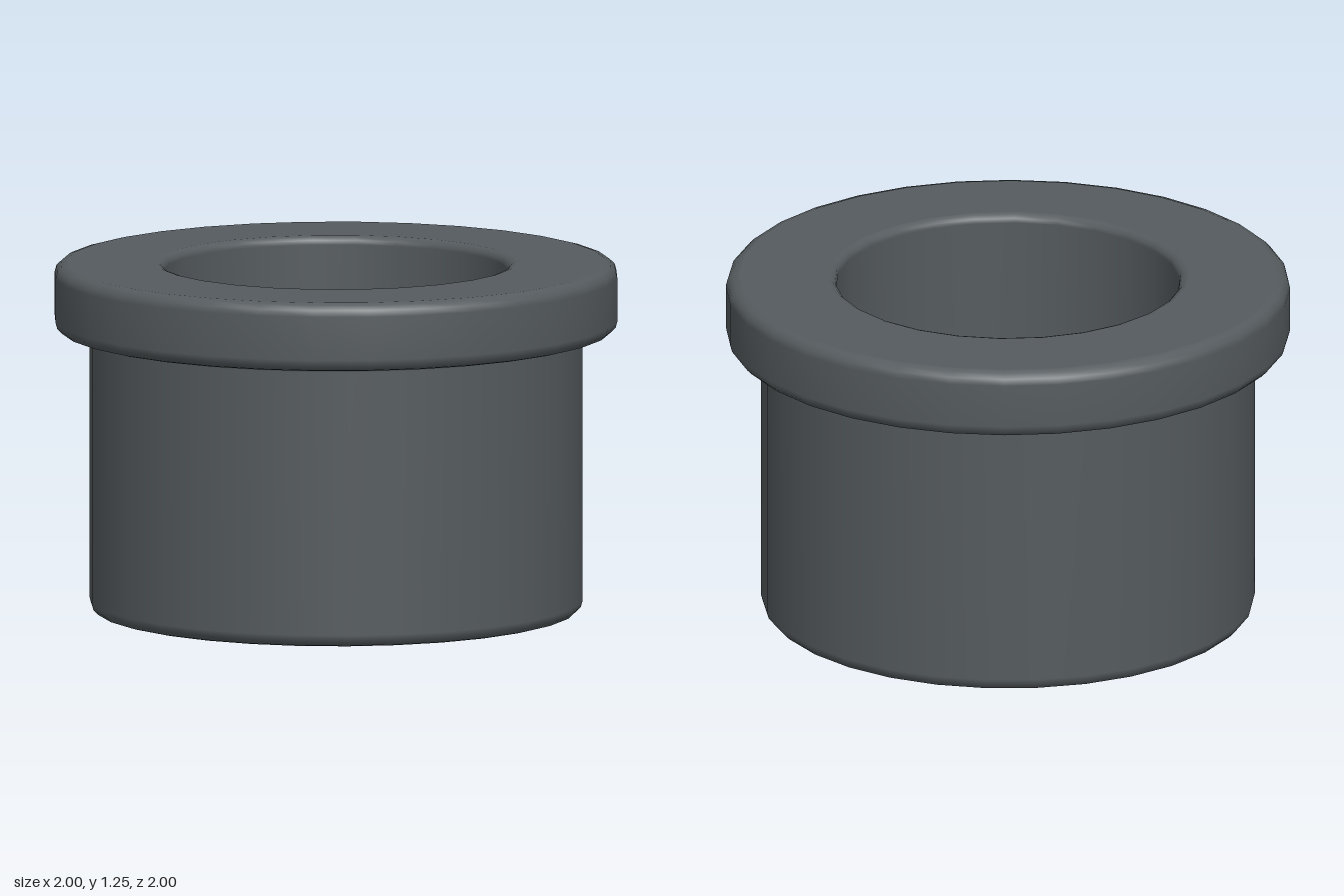
import * as THREE from 'three';

const material = new THREE.MeshStandardMaterial({ color: 0x555b5e });

// Points of a rounded corner, from angle a0 to a1 in degrees
function arc(cx, cy, r, a0, a1, steps = 3) {
  return Array.from({ length: steps + 1 }, (_, i) => {
    const a = THREE.MathUtils.degToRad(a0 + ((a1 - a0) * i) / steps);
    return new THREE.Vector2(cx + r * Math.cos(a), cy + r * Math.sin(a));
  });
}

function circle(radius, sides) {
  return Array.from({ length: sides }, (_, i) => {
    const a = (i / sides) * Math.PI * 2;
    return new THREE.Vector2(radius * Math.cos(a), radius * Math.sin(a));
  });
}

export function createModel() {
  const group = new THREE.Group();
  group.name = 'flangedBushing';

  const add = (name, geometry) => {
    const mesh = new THREE.Mesh(geometry, material);
    mesh.name = name;
    group.add(mesh);
  };
  const lathe = (name, points, sides) =>
    add(name, new THREE.LatheGeometry(points, sides, Math.PI / 2));

  // Flat ring joining two circles with different side counts
  const ring = (name, outer, outerSides, inner, innerSides, y, up) => {
    const shape = new THREE.Shape(circle(outer, outerSides));
    shape.holes.push(new THREE.Path(circle(inner, innerSides)));
    const geometry = new THREE.ShapeGeometry(shape);
    geometry.rotateX(up ? -Math.PI / 2 : Math.PI / 2).translate(0, y, 0);
    add(name, geometry);
  };

  const height = 1.25, shoulder = 1.005;
  const flangeSides = 32, bodySides = 30, boreSides = 26;

  // Flange rim with rounded upper and lower edges
  lathe('flangeRim', [
    ...arc(0.955, shoulder + 0.045, 0.045, -90, 0),
    ...arc(0.955, height - 0.045, 0.045, 0, 90),
  ], flangeSides);

  // Sleeve wall: rounded foot, small fillet under the flange
  lathe('sleeve', [
    ...arc(0.83, 0.045, 0.045, -90, 0),
    ...arc(0.892, shoulder - 0.017, 0.017, 180, 90),
  ], bodySides);

  // Bore wall, running downwards so that it faces inwards
  lathe('bore', [
    ...arc(0.64, height - 0.03, 0.03, 90, 180),
    ...arc(0.64, 0.03, 0.03, 180, 270),
  ], boreSides);

  // Flat faces
  ring('topFace', 0.955, flangeSides, 0.64, boreSides, height, true);
  ring('flangeUnderside', 0.955, flangeSides, 0.892, bodySides, shoulder, false);
  ring('bottomFace', 0.83, bodySides, 0.64, boreSides, 0, false);

  return group;
}
